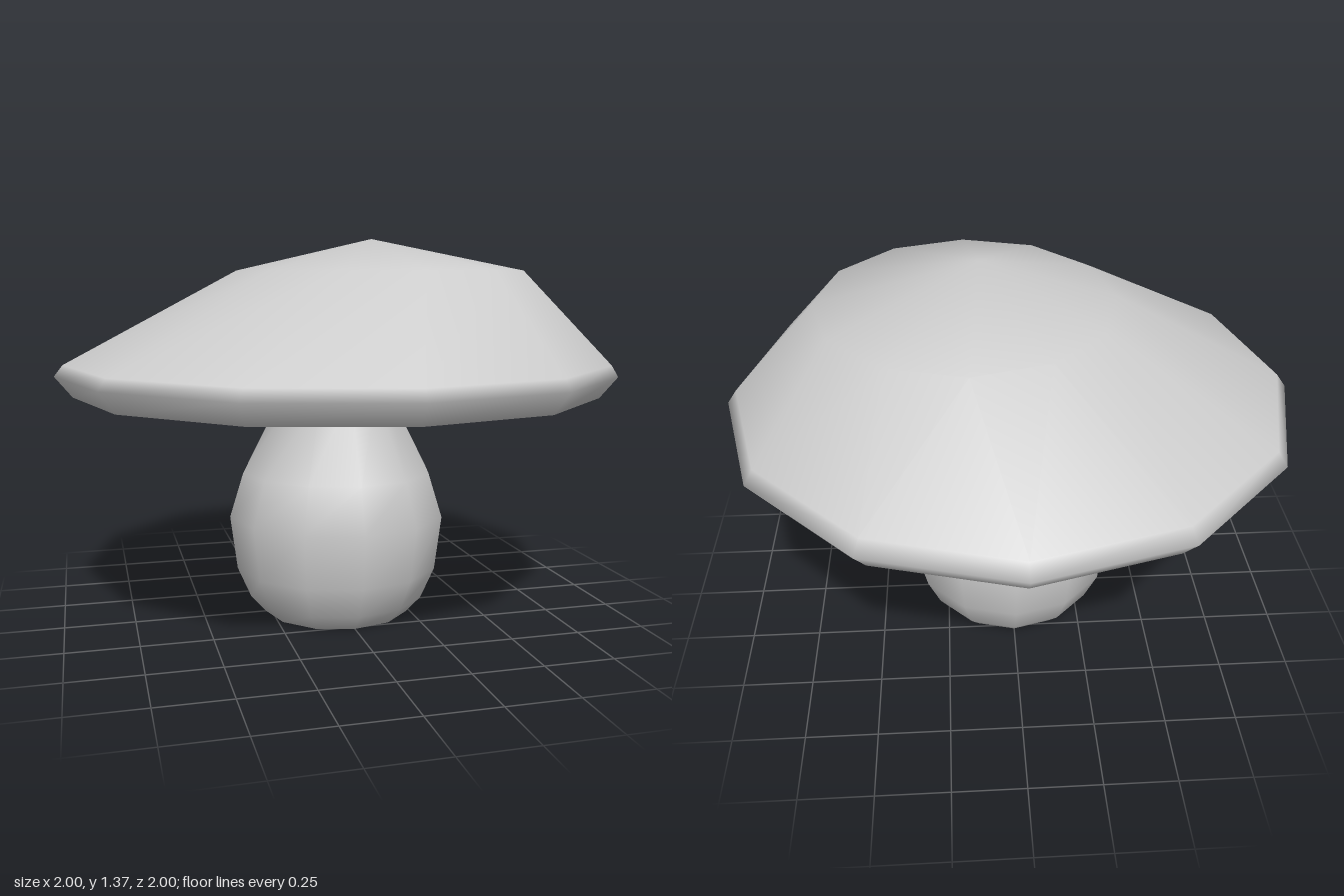
import * as THREE from 'three';

const SIDES = 12;

// Smooth skin over horizontal rings, listed as [radius, y, centreX, centreZ].
// A ring of radius 0 becomes a single closing point.
function loft(name, rings, material) {
  const pos = [], index = [], starts = [];
  for (const [r, y, cx = 0, cz = 0] of rings) {
    starts.push(pos.length / 3);
    for (let j = 0; j < (r ? SIDES : 1); j++) {
      const a = (j / SIDES) * Math.PI * 2;
      pos.push(cx + r * Math.cos(a), y, cz + r * Math.sin(a));
    }
  }
  for (let i = 0; i < rings.length - 1; i++) {
    const at = (k, j) => starts[k] + (rings[k][0] ? j % SIDES : 0);
    for (let j = 0; j < SIDES; j++) {
      const a = at(i, j), b = at(i, j + 1), c = at(i + 1, j), d = at(i + 1, j + 1);
      if (a !== b) index.push(a, c, b);
      if (c !== d) index.push(b, c, d);
    }
  }
  const geometry = new THREE.BufferGeometry();
  geometry.setAttribute('position', new THREE.Float32BufferAttribute(pos, 3));
  geometry.setIndex(index);
  geometry.computeVertexNormals();
  const mesh = new THREE.Mesh(geometry, material);
  mesh.name = name;
  return mesh;
}

export function createModel() {
  const group = new THREE.Group();
  group.name = 'mushroom';
  const material = new THREE.MeshStandardMaterial({ color: 0xcccccc, side: THREE.DoubleSide });

  // Bulging stem that flares slightly where it meets the cap
  group.add(loft('stem', [
    [0, 0], [0.27, 0], [0.325, 0.06], [0.375, 0.175], [0.4, 0.37],
    [0.35, 0.53], [0.2, 0.82], [0.26, 0.826],
  ], material));

  // Flat underside, rounded rim and a crown leaning to +x and +z
  group.add(loft('cap', [
    [0.2, 0.826], [0.88, 0.818], [0.94, 0.826], [1, 0.9], [0.97, 0.94, 0, 0.015],
    [0.52, 1.26, 0.15, 0.035], [0, 1.37, 0.1, 0.11],
  ], material));

  return group;
}
